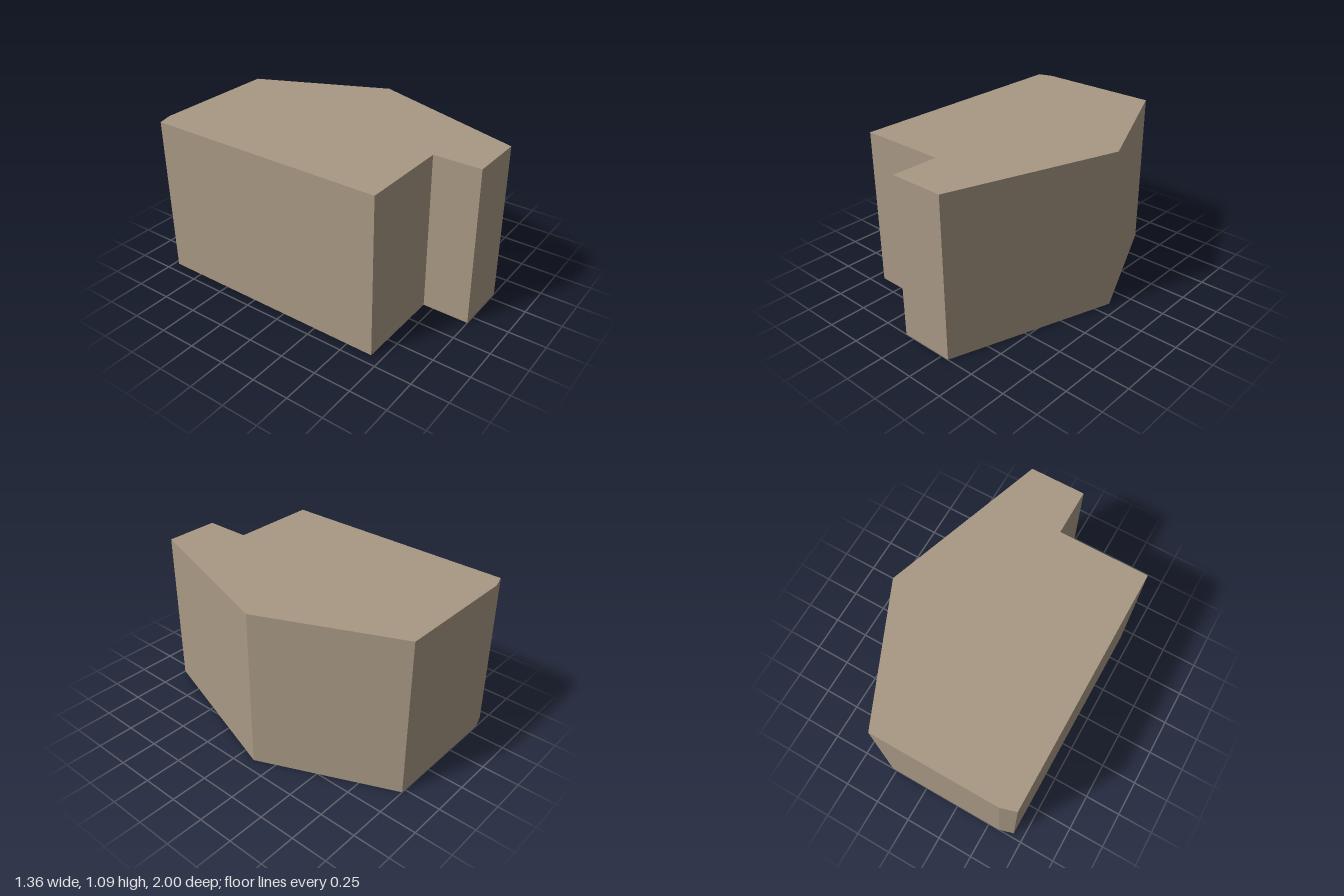
import * as THREE from 'three';

export function createModel() {
  const model = new THREE.Group();
  const height = 1.09;

  // Floor plan as [x, z] corners
  const plan = [
    [-0.68, 0.68], [-0.07, 0.68], [-0.07, 1], [0.305, 1],
    [0.675, -0.11], [0.28, -1], [-0.58, -1], [-0.68, -0.97],
  ];
  const shape = new THREE.Shape(plan.map(([x, z]) => new THREE.Vector2(x, -z)));

  // Plan raised straight up into a prism with a flat roof
  const geometry = new THREE.ExtrudeGeometry(shape, { depth: height, bevelEnabled: false });
  geometry.rotateX(-Math.PI / 2);

  const block = new THREE.Mesh(
    geometry,
    new THREE.MeshStandardMaterial({ color: 0xa89884, flatShading: true })
  );
  block.name = 'buildingBlock';
  model.add(block);
  return model;
}
